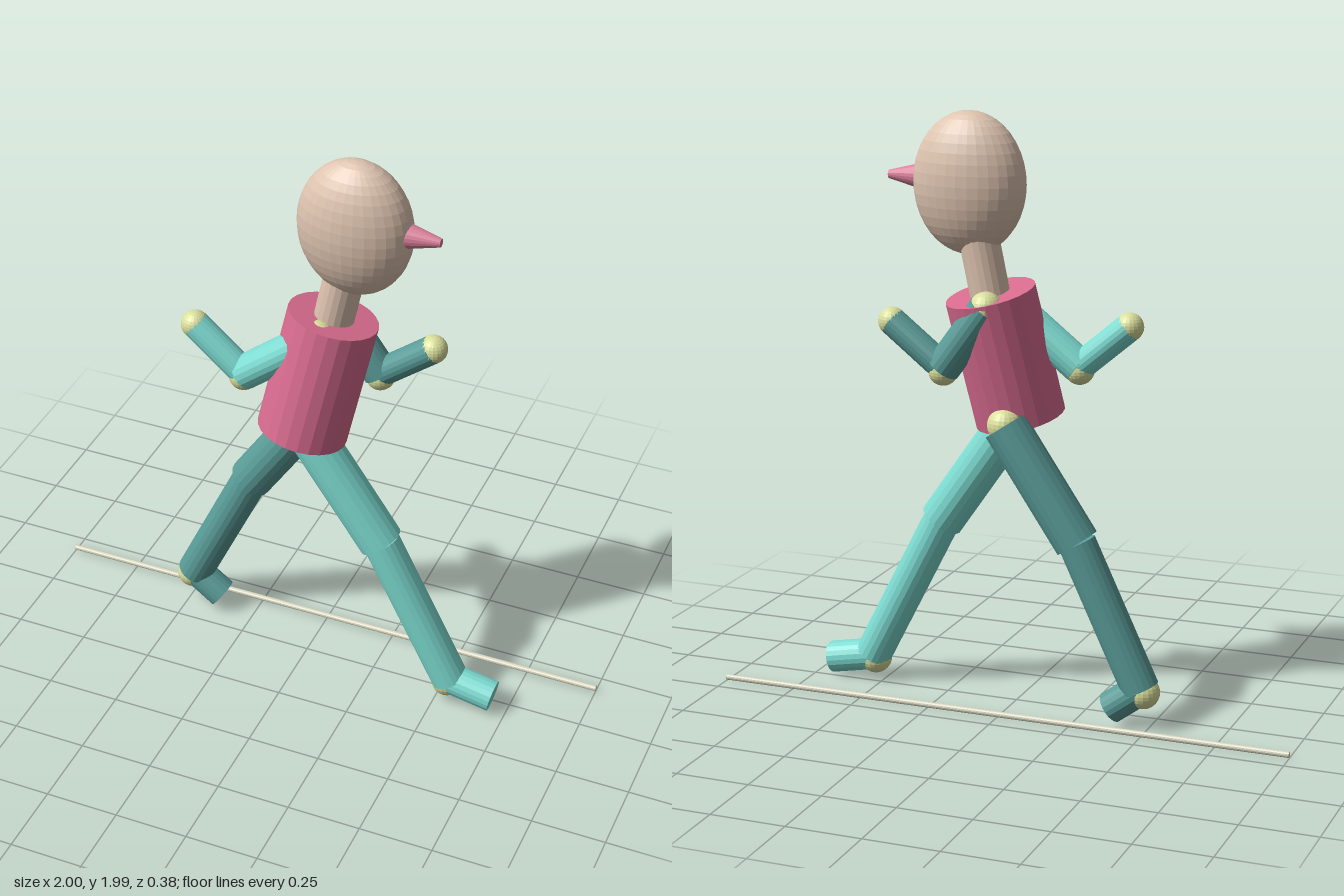
import * as THREE from 'three';

const mat = (name, color) => {
  const m = new THREE.MeshStandardMaterial({ color, flatShading: true });
  m.name = name;
  return m;
};

export function createModel() {
  const group = new THREE.Group();
  group.name = 'walkingFigure';

  const skin = mat('skin', 0xdec4b0);
  const pink = mat('shirtPink', 0xd96c90);
  const nosePink = mat('nosePink', 0xdc829c);
  const lightTeal = mat('lightTeal', 0x7ddcd2);
  const darkTeal = mat('darkTeal', 0x5a9c98);
  const joint = mat('jointYellow', 0xdadf9c);
  const ground = mat('rodGrey', 0xd8d6c0);

  const add = (parent, name, geometry, material) => {
    const mesh = new THREE.Mesh(geometry, material);
    mesh.name = name;
    parent.add(mesh);
    return mesh;
  };

  // Cylinder (or truncated cone) between two points
  const rod = (parent, name, a, b, r0, r1, material, sides = 20) => {
    const from = new THREE.Vector3(...a), to = new THREE.Vector3(...b);
    const dir = to.clone().sub(from);
    const mesh = add(parent, name, new THREE.CylinderGeometry(r1, r0, dir.length(), sides), material);
    mesh.position.copy(from).add(to).multiplyScalar(0.5);
    mesh.quaternion.setFromUnitVectors(new THREE.Vector3(0, 1, 0), dir.normalize());
    return mesh;
  };

  const ball = (parent, name, p, r, material, w = 20, h = 14) => {
    const mesh = add(parent, name, new THREE.SphereGeometry(r, w, h), material);
    mesh.position.set(...p);
    return mesh;
  };

  // Head, nose and neck
  ball(group, 'head', [0.155, 1.755, -0.018], 1, skin, 32, 20).scale.set(0.192, 0.234, 0.122);
  rod(group, 'nose', [0.3, 1.767, -0.013], [0.44, 1.767, -0.013], 0.049, 0.014, nosePink);
  rod(group, 'neck', [0.075, 1.36, -0.025], [0.125, 1.6, -0.025], 0.066, 0.066, skin);

  // Torso leaning forward and sideways
  rod(group, 'torso', [0, 0.977, 0.04], [0.08, 1.4, -0.028], 0.15, 0.15, pink, 24);
  ball(group, 'pelvis', [-0.01, 0.985, 0.085], 0.046, pink);

  // Arms: shoulder, elbow and hand positions
  const arms = [
    { name: 'nearArm', m: lightTeal, s: [0.06, 1.365, 0.055], e: [-0.2, 1.16, 0.055], h: [-0.37, 1.305, 0.055] },
    { name: 'farArm', m: darkTeal, s: [0.06, 1.365, -0.117], e: [0.21, 1.16, -0.117], h: [0.39, 1.3, -0.115] },
  ];
  for (const { name, m, s, e, h } of arms) {
    const arm = new THREE.Group();
    arm.name = name;
    group.add(arm);
    ball(arm, 'shoulder', s, 0.056, joint);
    rod(arm, 'upperArm', s, e, 0.058, 0.058, m);
    ball(arm, 'elbow', [e[0], e[1] - 0.01, e[2]], 0.05, joint);
    rod(arm, 'forearm', e, h, 0.047, 0.047, m);
    ball(arm, 'hand', h, 0.047, joint);
  }

  // Legs: hip, knee, ankle and toe positions
  const legs = [
    { name: 'nearLeg', m: lightTeal, z: 0.038, h: [0.01, 0.99], k: [0.283, 0.597], a: [0.545, 0.085], t: [0.7, 0.055] },
    { name: 'farLeg', m: darkTeal, z: -0.1, h: [0, 0.98], k: [-0.25, 0.61], a: [-0.473, 0.137], t: [-0.37, 0.06] },
  ];
  for (const { name, m, z, h, k, a, t } of legs) {
    const leg = new THREE.Group();
    leg.name = name;
    group.add(leg);
    ball(leg, 'hip', [h[0], h[1], z], 0.06, joint);
    rod(leg, 'thigh', [...h, z], [...k, z], 0.075, 0.075, m);
    rod(leg, 'shin', [...k, z], [...a, z], 0.063, 0.063, m);
    ball(leg, 'ankle', [a[0] - 0.01, a[1] - 0.01, z], 0.055, joint);
    rod(leg, 'foot', [...a, z], [...t, z], 0.054, 0.054, m);
  }

  // Thin ground rod beside the feet
  rod(group, 'groundRod', [-1, 0.014, -0.182], [1, 0.014, -0.182], 0.01, 0.01, ground, 12);

  return group;
}
